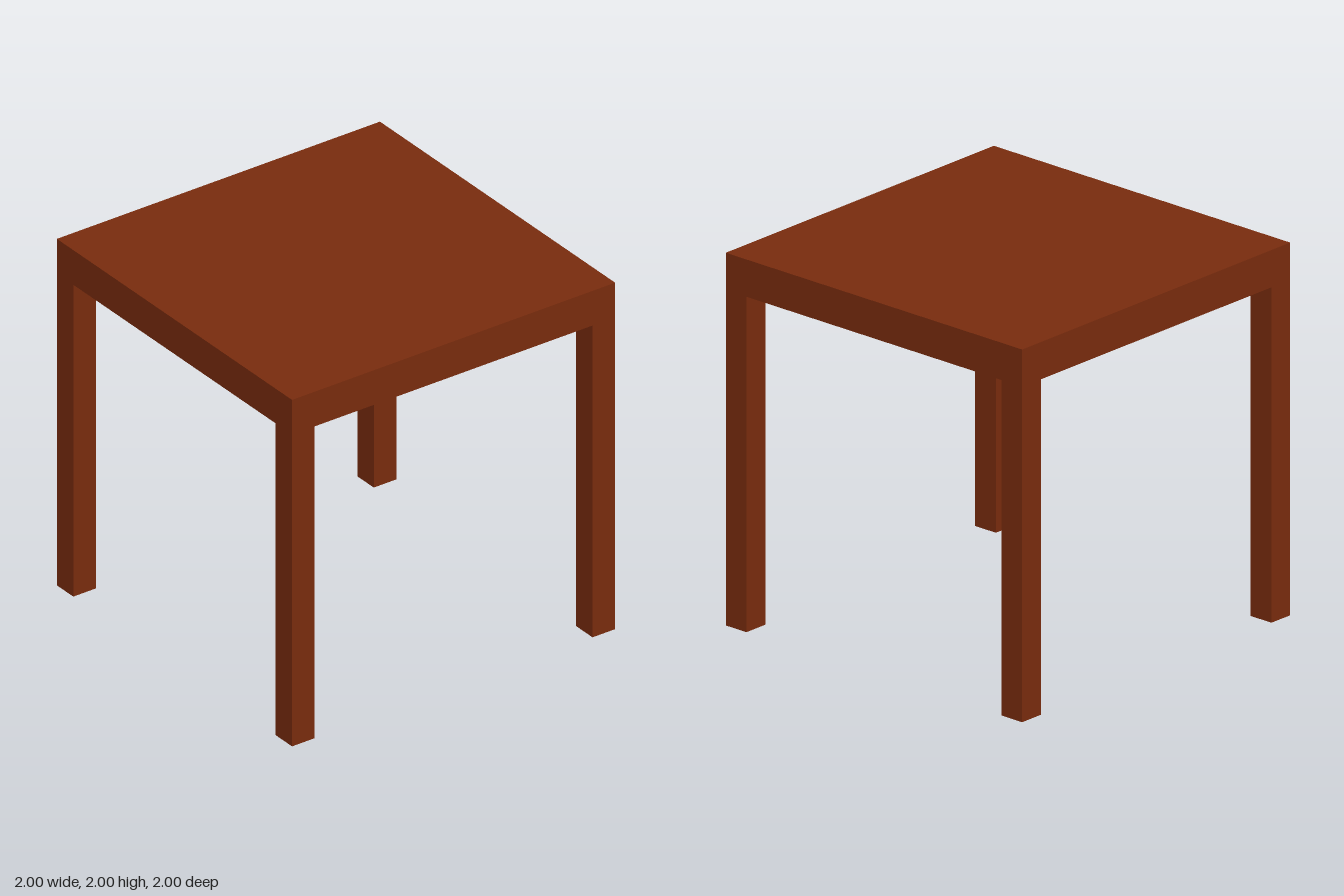
import * as THREE from 'three';

const SIZE = 2;
const TOP_THICKNESS = 0.2;
const LEG_WIDTH = 0.14;

export function createModel() {
  const table = new THREE.Group();
  table.name = 'table';
  const wood = new THREE.MeshStandardMaterial({ color: 0x782b0d });

  // Square slab top
  const top = new THREE.Mesh(new THREE.BoxGeometry(SIZE, TOP_THICKNESS, SIZE), wood);
  top.name = 'tableTop';
  top.position.y = SIZE - TOP_THICKNESS / 2;
  table.add(top);

  // Four square legs, flush with the corners of the top
  const legHeight = SIZE - TOP_THICKNESS;
  const legGeometry = new THREE.BoxGeometry(LEG_WIDTH, legHeight, LEG_WIDTH);
  const offset = (SIZE - LEG_WIDTH) / 2;
  for (const [zName, z] of [['front', 1], ['back', -1]]) {
    for (const [xName, x] of [['Left', 1], ['Right', -1]]) {
      const leg = new THREE.Mesh(legGeometry, wood);
      leg.name = `${zName}${xName}Leg`;
      leg.position.set(x * offset, legHeight / 2, z * offset);
      table.add(leg);
    }
  }

  return table;
}
